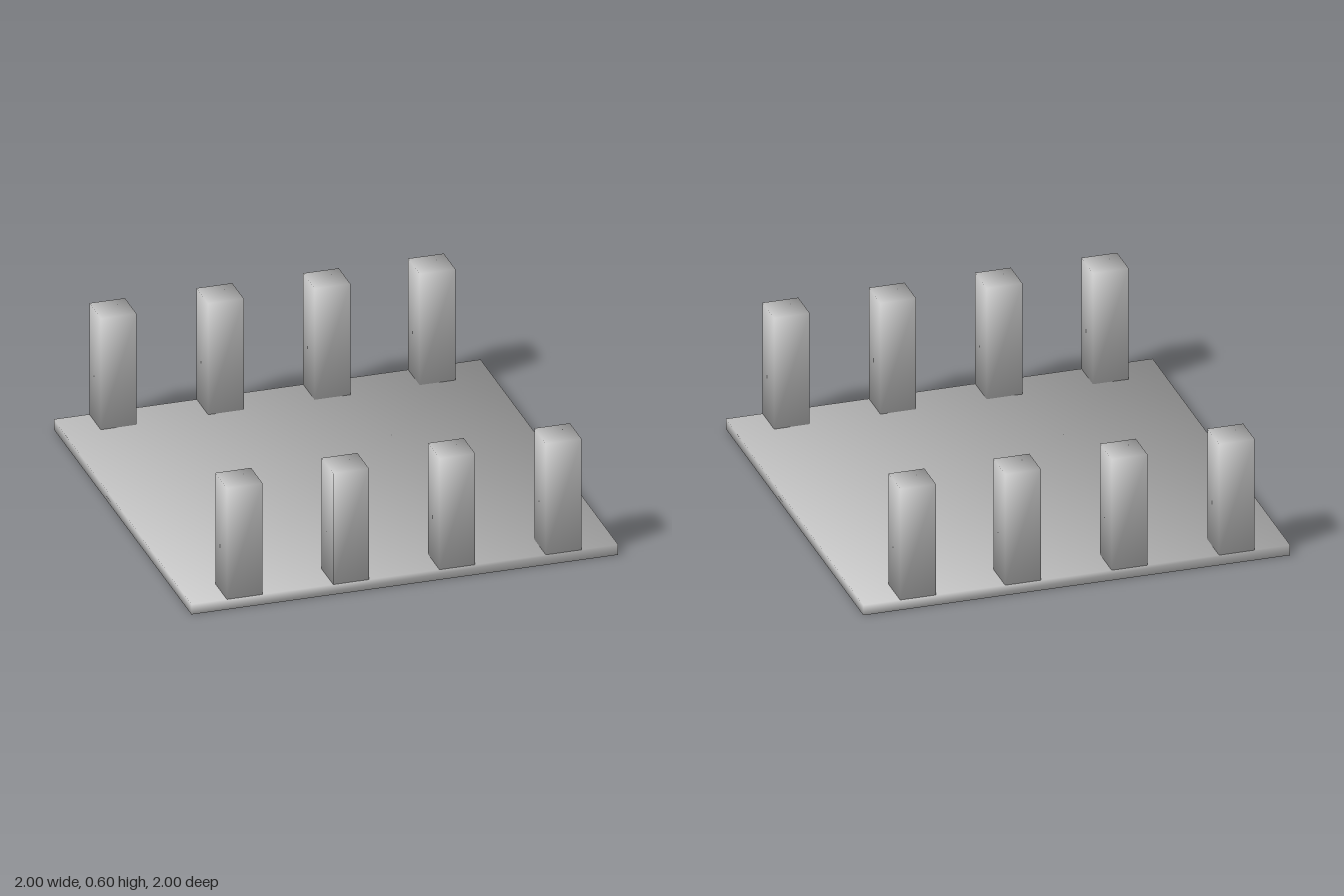
import * as THREE from 'three';

const material = new THREE.MeshStandardMaterial({ color: 0xcccccc });

// Box whose corner normals are shared by its three faces, giving soft shading
function softBox(name, width, height, depth, x, bottom, z) {
  const geometry = new THREE.BoxGeometry(width, height, depth);
  const position = geometry.attributes.position;
  const normal = geometry.attributes.normal;
  const n = new THREE.Vector3();
  for (let i = 0; i < position.count; i++) {
    n.set(
      Math.sign(position.getX(i)),
      Math.sign(position.getY(i)),
      Math.sign(position.getZ(i))
    ).normalize();
    normal.setXYZ(i, n.x, n.y, n.z);
  }
  const mesh = new THREE.Mesh(geometry, material);
  mesh.name = name;
  mesh.position.set(x, bottom + height / 2, z);
  return mesh;
}

export function createModel() {
  const model = new THREE.Group();
  model.name = 'platformWithPillars';

  // Thin square base
  const baseHeight = 0.05;
  model.add(softBox('base', 2, baseHeight, 2, 0, 0, 0));

  // A row of four square pillars along the front and back edges
  const size = 0.167;
  const height = 0.55;
  const rows = [
    { name: 'frontPillar', z: 1 - size / 2, xs: [-0.75, -0.252, 0.246, 0.744] },
    { name: 'backPillar', z: -1 + size / 2, xs: [-0.75, -0.247, 0.252, 0.744] },
  ];
  for (const row of rows) {
    row.xs.forEach((x, i) => {
      model.add(softBox(row.name + (i + 1), size, height, size, x, baseHeight, row.z));
    });
  }

  return model;
}
